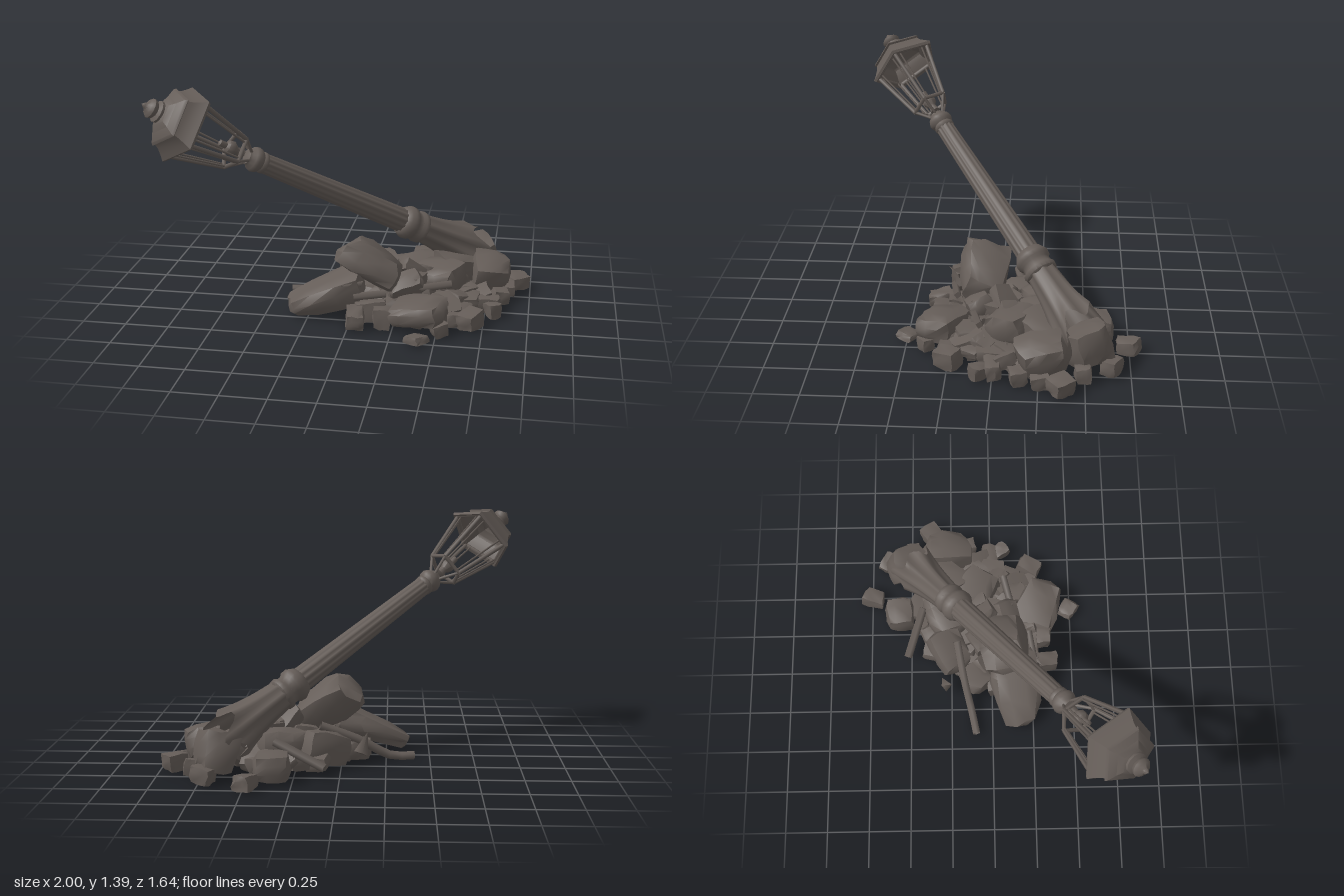
import * as THREE from 'three';
import { mergeVertices, toCreasedNormals } from 'three/addons/utils/BufferGeometryUtils.js';

const iron = new THREE.MeshStandardMaterial({ color: 0x655d58, side: THREE.DoubleSide });
iron.name = 'weathered grey';

let seed = 11;
const rand = () => (seed = (seed * 16807) % 2147483647) / 2147483647;
const spread = (a) => (rand() * 2 - 1) * a;
const V = (x, y, z) => new THREE.Vector3(x, y, z);

function add(parent, name, geometry) {
  const mesh = new THREE.Mesh(geometry, iron);
  mesh.name = name;
  parent.add(mesh);
  return mesh;
}

// Straight rod between two points
function bar(parent, name, a, b, r, sides = 5) {
  const mesh = add(parent, name, new THREE.CylinderGeometry(r, r, a.distanceTo(b), sides));
  mesh.position.copy(a).lerp(b, 0.5);
  mesh.quaternion.setFromUnitVectors(V(0, 1, 0), b.clone().sub(a).normalize());
}

// Turned part; profile is [radius, height] pairs
function turned(parent, name, profile, sides, crease = 0.9) {
  const g = new THREE.LatheGeometry(profile.map(([r, y]) => new THREE.Vector2(r, y)), sides);
  add(parent, name, toCreasedNormals(g, crease));
}

// Worn block: a box pulled towards a ball and knocked out of true
function rock(parent, name, pos, size, rot, round, taper = 0) {
  let g = new THREE.BoxGeometry(1, 1, 1, 3, 3, 3);
  g.deleteAttribute('uv');
  g.deleteAttribute('normal');
  g = mergeVertices(g);
  const p = g.attributes.position, v = V(0, 0, 0);
  const skew = [spread(0.18), spread(0.18), spread(0.18)];
  for (let i = 0; i < p.count; i++) {
    v.fromBufferAttribute(p, i);
    v.lerp(v.clone().normalize().multiplyScalar(0.58), round);
    const narrow = 1 + taper * v.x * 2;
    v.y *= narrow * (1 + skew[2] * v.z * 2);
    v.z *= narrow * (1 + skew[1] * v.x * 2);
    v.x *= 1 + skew[0] * v.y * 2;
    p.setXYZ(i, v.x + spread(0.045), v.y + spread(0.045), v.z + spread(0.045));
  }
  g.scale(...size);
  const mesh = add(parent, name, toCreasedNormals(g, 0.85));
  mesh.position.set(...pos);
  mesh.rotation.set(...rot);
  // Keep every block on the ground
  mesh.updateMatrix();
  const low = new THREE.Box3().setFromBufferAttribute(g.clone().applyMatrix4(mesh.matrix).attributes.position).min.y;
  if (low < 0) mesh.position.y -= low;
}

function buildLantern() {
  // Height 0 is the neck of the post
  const lantern = new THREE.Group();
  lantern.name = 'lantern';
  const corner = (i, r, y) => V(r * Math.sin(i * Math.PI * 0.4), y, r * Math.cos(i * Math.PI * 0.4));
  const onSide = (i, t, r, y) => corner(i, r, y).lerp(corner(i + 1, r, y), t);
  for (let i = 0; i < 5; i++) {
    bar(lantern, 'cageFoot', corner(i, 0.035, 0.02), corner(i, 0.11, 0.115), 0.009);
    bar(lantern, 'cageRing', corner(i, 0.11, 0.115), corner(i + 1, 0.11, 0.115), 0.012);
    bar(lantern, 'cageBar', corner(i, 0.11, 0.115), corner(i, 0.19, 0.45), 0.012);
    bar(lantern, 'eavesRail', corner(i, 0.195, 0.445), corner(i + 1, 0.195, 0.445), 0.013);
    // Thin window frames beside the corners
    for (const t of [0.16, 0.84]) {
      bar(lantern, 'windowFrame', onSide(i, t, 0.11, 0.115), onSide(i, t, 0.19, 0.45), 0.006, 4);
    }
  }
  turned(lantern, 'burner', [[0, 0.05], [0.03, 0.06], [0.022, 0.1], [0.042, 0.13], [0.036, 0.16], [0.018, 0.17],
    [0.018, 0.21], [0, 0.22]], 8);

  // Hollow roof in two tiers
  turned(lantern, 'roof', [[0.185, 0.44], [0.215, 0.43], [0.224, 0.445], [0.2, 0.47], [0.172, 0.505], [0.16, 0.53],
    [0.172, 0.537], [0.16, 0.55], [0.112, 0.57], [0.075, 0.59], [0.045, 0.6]], 5, 0.6);
  turned(lantern, 'finial', [[0.04, 0.59], [0.06, 0.6], [0.06, 0.613], [0.035, 0.622], [0.05, 0.634], [0.054, 0.652],
    [0.04, 0.668], [0.018, 0.678], [0.014, 0.69], [0, 0.705]], 12);
  return lantern;
}

// Place a group so its own y runs along a direction, with z nearest to out
function aim(group, position, along, out) {
  along.normalize();
  out.addScaledVector(along, -out.dot(along)).normalize();
  group.quaternion.setFromRotationMatrix(new THREE.Matrix4().makeBasis(along.clone().cross(out), along, out));
  group.position.copy(position);
}

function buildPost() {
  const post = new THREE.Group();
  post.name = 'post';

  // Fluted shaft
  const shaft = new THREE.CylinderGeometry(0.055, 0.074, 1.12, 48, 6, true);
  const sp = shaft.attributes.position;
  for (let i = 0; i < sp.count; i++) {
    const a = Math.atan2(sp.getX(i), sp.getZ(i));
    const k = 1 - 0.1 * Math.sin(a * 6) ** 2;
    sp.setXYZ(i, sp.getX(i) * k, sp.getY(i) + 0.56, sp.getZ(i) * k);
  }
  shaft.computeVertexNormals();
  add(post, 'flutedShaft', shaft);

  // Flared base with a torn foot
  const base = new THREE.CylinderGeometry(0.085, 0.15, 0.44, 40, 8, true);
  const bp = base.attributes.position;
  for (let i = 0; i < bp.count; i++) {
    const x = bp.getX(i), z = bp.getZ(i), a = Math.atan2(x, z);
    const t = 0.5 - bp.getY(i) / 0.44;
    const k = 1 - 0.12 * Math.abs(Math.sin(a * 4)) - 0.1 * Math.sin(Math.PI * t);
    const torn = t * t * (0.05 * Math.sin(a * 5) + 0.04 * Math.sin(a * 2 + 1));
    bp.setXYZ(i, x * k, -0.03 - t * 0.42 + torn, z * k);
  }
  base.computeVertexNormals();
  add(post, 'tornBase', base);

  // Collars
  turned(post, 'lowerCollar', [[0.08, -0.08], [0.094, -0.07], [0.096, -0.045], [0.084, -0.03], [0.084, 0.0],
    [0.098, 0.015], [0.1, 0.04], [0.09, 0.06], [0.08, 0.08], [0.068, 0.085]], 20);
  turned(post, 'upperCollar', [[0.05, 1.06], [0.06, 1.07], [0.06, 1.085], [0.055, 1.095], [0.067, 1.11],
    [0.071, 1.13], [0.064, 1.15], [0.046, 1.165], [0.042, 1.18], [0, 1.19]], 18);
  return post;
}

function buildRubble() {
  const rubble = new THREE.Group();
  rubble.name = 'rubble';

  // Large boulders and slabs: position, size, rotation, taper along x
  const boulders = [
    [[0.1, 0.29, 0.08], [0.38, 0.2, 0.25], [-0.3, 0.1, -0.5], -0.1],
    [[-0.16, 0.1, 0.15], [0.46, 0.14, 0.27], [0.1, 0.15, 0.36], 0.35],
    [[0.76, 0.13, -0.28], [0.21, 0.19, 0.28], [0.3, 0.1, -0.2], 0],
    [[0.67, 0.15, -0.52], [0.2, 0.22, 0.25], [0.2, 0.5, 0.2], 0],
    [[0.4, 0.1, 0.3], [0.31, 0.14, 0.25], [0, -0.35, 0.15], 0],
    [[0.48, 0.15, -0.1], [0.27, 0.18, 0.24], [0.2, -0.5, 0.2], 0],
    [[0.1, 0.1, -0.26], [0.28, 0.17, 0.2], [0.1, 0.5, 0.2], 0],
    [[0.36, 0.08, -0.57], [0.19, 0.16, 0.17], [0, 0.1, 0], 0],
    [[0.34, 0.12, -0.27], [0.28, 0.19, 0.26], [0.2, 0.3, 0], 0],
    [[-0.06, 0.06, -0.1], [0.18, 0.11, 0.17], [0, 0.6, 0.1], 0],
    [[0.3, 0.17, 0.1], [0.2, 0.12, 0.14], [0.4, 0.4, 0.2], 0],
    [[0.57, 0.15, -0.28], [0.28, 0.17, 0.2], [0.1, 0.7, -0.3], 0],
  ];
  boulders.forEach(([p, s, r, taper]) => rock(rubble, 'boulder', p, s, r, 0.55, taper));

  // Loose blocks around the edge: x, z, width, height, depth, turn
  const blocks = [
    [0.49, -0.74, 0.1, 0.08, 0.13, -0.3], [0.72, -0.64, 0.12, 0.09, 0.1, -0.4], [0.8, -0.49, 0.1, 0.09, 0.09, 0.1],
    [0.92, -0.37, 0.12, 0.09, 0.12, 0.6], [0.83, -0.14, 0.1, 0.08, 0.09, 0.3], [0.74, 0, 0.19, 0.09, 0.09, 0.1],
    [0.8, 0.07, 0.08, 0.08, 0.09, 0.5], [0.68, 0.25, 0.11, 0.1, 0.14, -0.5], [0.58, 0.11, 0.11, 0.09, 0.1, 0.2],
    [0.4, 0.49, 0.11, 0.04, 0.1, -0.6], [0.19, 0.31, 0.1, 0.11, 0.12, 0.1], [0.04, 0.34, 0.1, 0.1, 0.14, 0.2],
    [0.12, 0.25, 0.17, 0.12, 0.08, 0.1], [0.64, -0.08, 0.15, 0.11, 0.12, 0.8], [0.22, -0.38, 0.13, 0.1, 0.1, 0.4],
    [0.52, 0.38, 0.09, 0.07, 0.08, 0.5], [-0.1, 0.02, 0.12, 0.1, 0.1, 0.2], [0.87, -0.26, 0.08, 0.08, 0.1, 0.1],
  ];
  blocks.forEach(([x, z, w, h, d, turn]) =>
    rock(rubble, 'looseBlock', [x, h / 2, z], [w, h, d], [spread(0.15), turn, spread(0.15)], 0.3));

  // Small stones packed through the heap
  for (let i = 0; i < 60; i++) {
    const a = i * 2.4, q = Math.sqrt((i + 0.5) / 60);
    const x = 0.36 + 0.36 * q * Math.cos(a), z = -0.08 + 0.38 * q * Math.sin(a);
    const s = 0.08 + rand() * 0.06;
    rock(rubble, 'smallStone', [x, 0.03 + (1.1 - q) * 0.2 * rand(), z], [s * 1.3, s * 0.65, s],
      [spread(0.5), spread(3), spread(0.5)], 0.3);
  }

  // Bent and broken iron strips
  const bend = [[-0.41, 0.025, -0.1], [-0.28, 0.03, -0.125], [-0.1, 0.13, -0.17], [0.12, 0.22, -0.21]];
  add(rubble, 'brokenRail',
    new THREE.TubeGeometry(new THREE.CatmullRomCurve3(bend.map((p) => V(...p))), 8, 0.025, 6));
  bar(rubble, 'brokenRail', V(0.08, 0.06, -0.52), V(0.36, 0.18, -0.42), 0.025, 4);
  bar(rubble, 'brokenRail', V(0.28, 0.16, 0.15), V(0.56, 0.19, 0.08), 0.022, 4);
  bar(rubble, 'brokenRail', V(0.02, 0.15, 0.26), V(0.2, 0.17, 0.23), 0.022, 4);

  // Upturned shards
  [[-0.13, 0.14, -0.27, 0.3], [0.0, 0.22, 0.26, 0.9]].forEach(([x, y, z, tilt]) => {
    const shard = add(rubble, 'shard', new THREE.ConeGeometry(0.045, 0.13, 4));
    shard.position.set(x, y, z);
    shard.rotation.set(tilt, 0.4, tilt);
    shard.scale.z = 0.4;
  });
  return rubble;
}

export function createModel() {
  const model = new THREE.Group();
  model.name = 'toppledStreetLamp';
  const post = buildPost(), lantern = buildLantern();
  aim(post, V(0.29, 0.435, -0.22), V(-0.7, 0.474, 0.53), V(-0.57, -0.82, 0));
  // The lantern is bent up a little from the line of the post
  aim(lantern, V(-0.52, 0.98, 0.385), V(-0.665, 0.53, 0.526), V(-0.46, -0.87, 0.24));
  model.add(post, lantern, buildRubble());
  return model;
}
